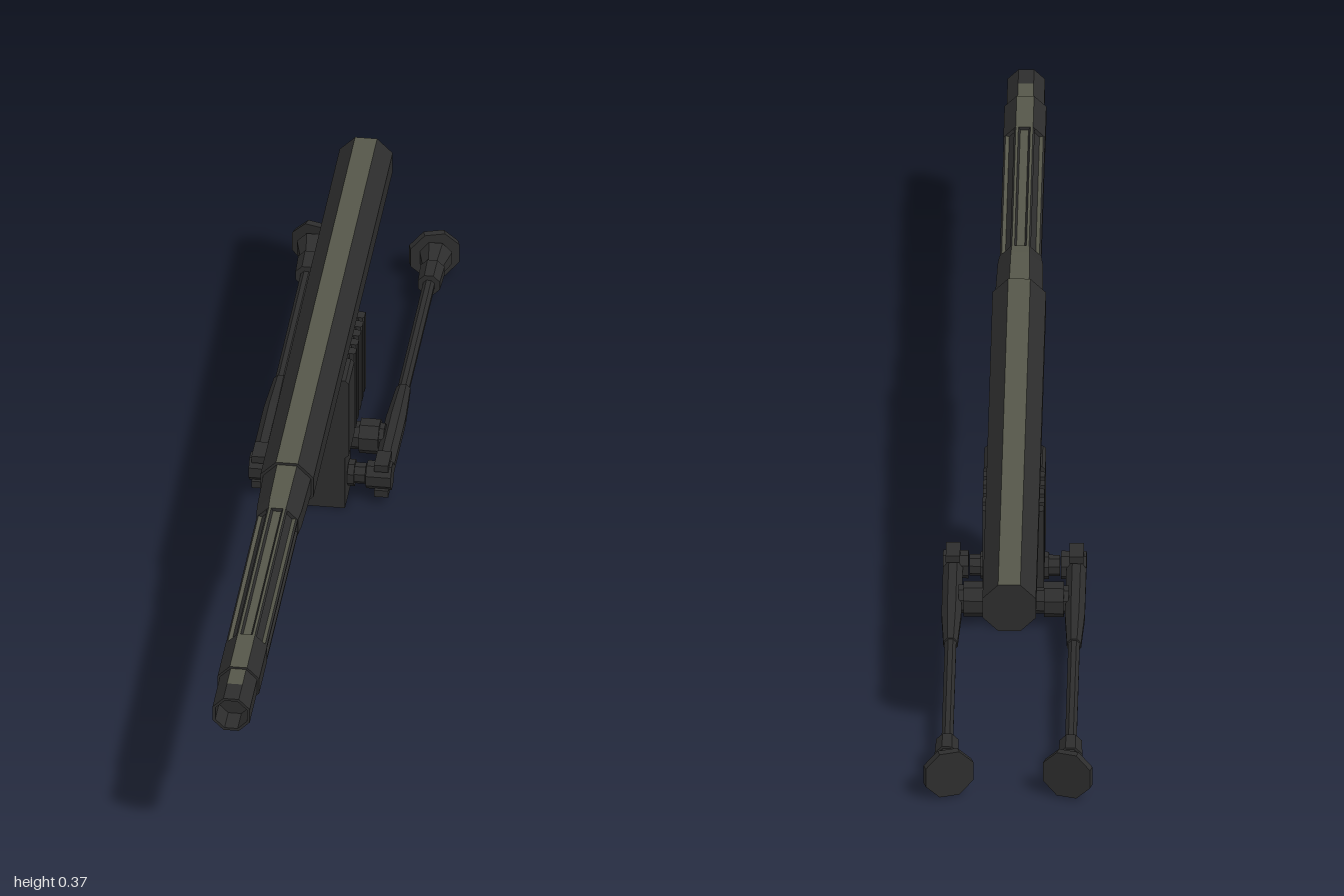
import * as THREE from 'three';

const dark = new THREE.MeshStandardMaterial({ color: 0x2d2d2d });
dark.name = 'dark metal';
const olive = new THREE.MeshStandardMaterial({ color: 0x56574a });
olive.name = 'olive top';

// Flat normals, optionally with a second material on upward faces
function facet(geo, painted) {
  const g = geo.index ? geo.toNonIndexed() : geo;
  g.computeVertexNormals();
  g.clearGroups();
  if (painted) {
    const n = g.attributes.normal;
    for (let i = 0; i < n.count; i += 3) g.addGroup(i, 3, n.getY(i) > 0.9 ? 1 : 0);
  }
  return g;
}

function add(parent, name, geo, x = 0, y = 0, z = 0, painted = false) {
  const m = new THREE.Mesh(facet(geo, painted), painted ? [dark, olive] : dark);
  m.name = name;
  m.position.set(x, y, z);
  parent.add(m);
  return m;
}

// Octagonal prism along z; a0 and a1 are flat-to-centre sizes at z0 and z1
function octZ(a0, a1, z0, z1) {
  const k = 1 / Math.cos(Math.PI / 8);
  return new THREE.CylinderGeometry(a1 * k, a0 * k, z1 - z0, 8, 1, false, Math.PI / 8)
    .rotateX(Math.PI / 2).translate(0, 0, (z0 + z1) / 2);
}
const octX = (a0, a1, x0, x1) => octZ(a0, a1, x0, x1).rotateY(Math.PI / 2);

function polygon(points) {
  return new THREE.Shape(points.map(p => new THREE.Vector2(p[0], p[1])));
}

function octPoints(a) {
  const r = a / Math.cos(Math.PI / 8);
  return Array.from({ length: 8 }, (_, i) => {
    const t = (i + 0.5) * Math.PI / 4;
    return [r * Math.cos(t), r * Math.sin(t)];
  });
}

// Octagon whose flats are cut by shallow grooves
function flutedShape(a, depth) {
  const pts = octPoints(a), out = [];
  pts.forEach((p, i) => {
    const q = pts[(i + 1) % 8];
    const mix = t => [p[0] + (q[0] - p[0]) * t, p[1] + (q[1] - p[1]) * t];
    const s = 1 - depth / a;
    out.push(p, mix(0.15), mix(0.22).map(v => v * s), mix(0.78).map(v => v * s), mix(0.85));
  });
  return polygon(out);
}

const extrude = (shape, depth) => new THREE.ExtrudeGeometry(shape, { depth, bevelEnabled: false });

function makeBarrel() {
  const g = new THREE.Group();
  g.name = 'barrel';
  g.position.y = 0.325;
  add(g, 'rearBarrel', octZ(0.0485, 0.0485, -0.85, 0.235), 0, 0, 0, true);
  add(g, 'barrelCollar', octZ(0.0435, 0.041, 0.235, 0.34), 0, 0, 0, true);
  add(g, 'collarTaper', octZ(0.041, 0.038, 0.34, 0.37), 0, 0, 0, true);
  add(g, 'flutedBarrel', extrude(flutedShape(0.0375, 0.006), 0.42), 0, 0, 0.37, true);
  add(g, 'frontCollar', octZ(0.038, 0.038, 0.79, 0.9), 0, 0, 0, true);
  add(g, 'muzzleNeck', octZ(0.034, 0.034, 0.9, 0.95), 0, 0, 0, true);
  // Open muzzle
  const ring = polygon(octPoints(0.034));
  ring.holes.push(new THREE.Path(octPoints(0.029).reverse().map(p => new THREE.Vector2(p[0], p[1]))));
  add(g, 'muzzle', extrude(ring, 0.05), 0, 0, 0.95);
  return g;
}

function makeMount() {
  const g = new THREE.Group();
  g.name = 'mount';
  // Front plate, seen from above as a rectangle with cut corners
  const plate = (w, d, c) => polygon([[-w, c], [-w + c, 0], [w - c, 0], [w, c], [w, d], [-w, d]]);
  const front = new THREE.Shape([
    [-0.049, 0.002], [0.049, 0.002], [0.049, 0.11], [0.056, 0.116], [0.056, 0.271],
    [0.05, 0.277], [-0.05, 0.277], [-0.056, 0.271], [-0.056, 0.116], [-0.049, 0.11],
  ].map(p => new THREE.Vector2(...p)));
  add(g, 'frontBlock', extrude(front, 0.075), 0, 0, -0.268);
  add(g, 'blockCore', new THREE.BoxGeometry(0.09, 0.16, 0.15), 0, 0.195, -0.342);
  for (let i = 0; i < 5; i++) {
    const rib = extrude(plate(0.056, 0.02, 0.003), 0.162).rotateX(-Math.PI / 2);
    add(g, 'sideRib', rib, 0, 0.115, -0.285 - i * 0.03);
  }
  for (const x of [-0.044, -0.015, 0.015, 0.044]) {
    add(g, 'backRib', new THREE.BoxGeometry(0.016, 0.162, 0.012), x, 0.196, -0.42);
  }
  add(g, 'barrelSeat', new THREE.BoxGeometry(0.04, 0.02, 0.2), 0, 0.275, -0.31);
  // Cross bar and knob beneath the block
  add(g, 'knobStem', new THREE.BoxGeometry(0.05, 0.05, 0.05), 0, 0.1, -0.36);
  add(g, 'knob', octX(0.046, 0.046, -0.026, 0.026).scale(1, 1, 0.72), 0, 0.052, -0.36);
  add(g, 'crossBar', octX(0.024, 0.024, -0.1, 0.1), 0, 0.052, -0.36);
  for (const s of [-1, 1]) {
    add(g, 'barFlange', octX(0.03, 0.03, -0.018, 0.018), s * 0.073, 0.052, -0.36);
  }
  return g;
}

function makeLeg(side) {
  const g = new THREE.Group();
  g.name = side > 0 ? 'leftLeg' : 'rightLeg';
  g.position.set(side * 0.112, 0.051, 0);
  // Hinge
  const hinge = side > 0 ? [-0.07, -0.03] : [0.03, 0.07];
  add(g, 'hingePin', octX(0.018, 0.018, ...hinge), 0, 0, -0.238);
  add(g, 'hingeCollar', octX(0.023, 0.023, -0.006, 0.006), side * -0.056, 0, -0.238);
  add(g, 'hingeBarrel', octX(0.024, 0.024, -0.023, 0.023), side * -0.005, 0, -0.236);
  for (const y of [-1, 1]) {
    add(g, 'hingeFork', new THREE.BoxGeometry(0.026, 0.014, 0.05), 0, y * 0.027, -0.24);
  }
  // Telescoping leg
  add(g, 'upperLeg', octZ(0.018, 0.018, -0.42, -0.25));
  add(g, 'legTaper', octZ(0.013, 0.018, -0.52, -0.42));
  add(g, 'lowerLeg', octZ(0.0105, 0.0105, -0.88, -0.52));
  add(g, 'footSocket', octZ(0.022, 0.02, -0.92, -0.87));
  add(g, 'footNeck', octZ(0.03, 0.018, -0.965, -0.92));
  // Angled foot pad
  const foot = add(g, 'foot', octZ(0.045, 0.045, -0.007, 0.007), side * -0.004, 0, -0.975);
  foot.rotation.y = side * 0.3;
  return g;
}

export function createModel() {
  const model = new THREE.Group();
  model.name = 'barrelWithBipod';
  model.add(makeBarrel(), makeMount(), makeLeg(1), makeLeg(-1));
  return model;
}
